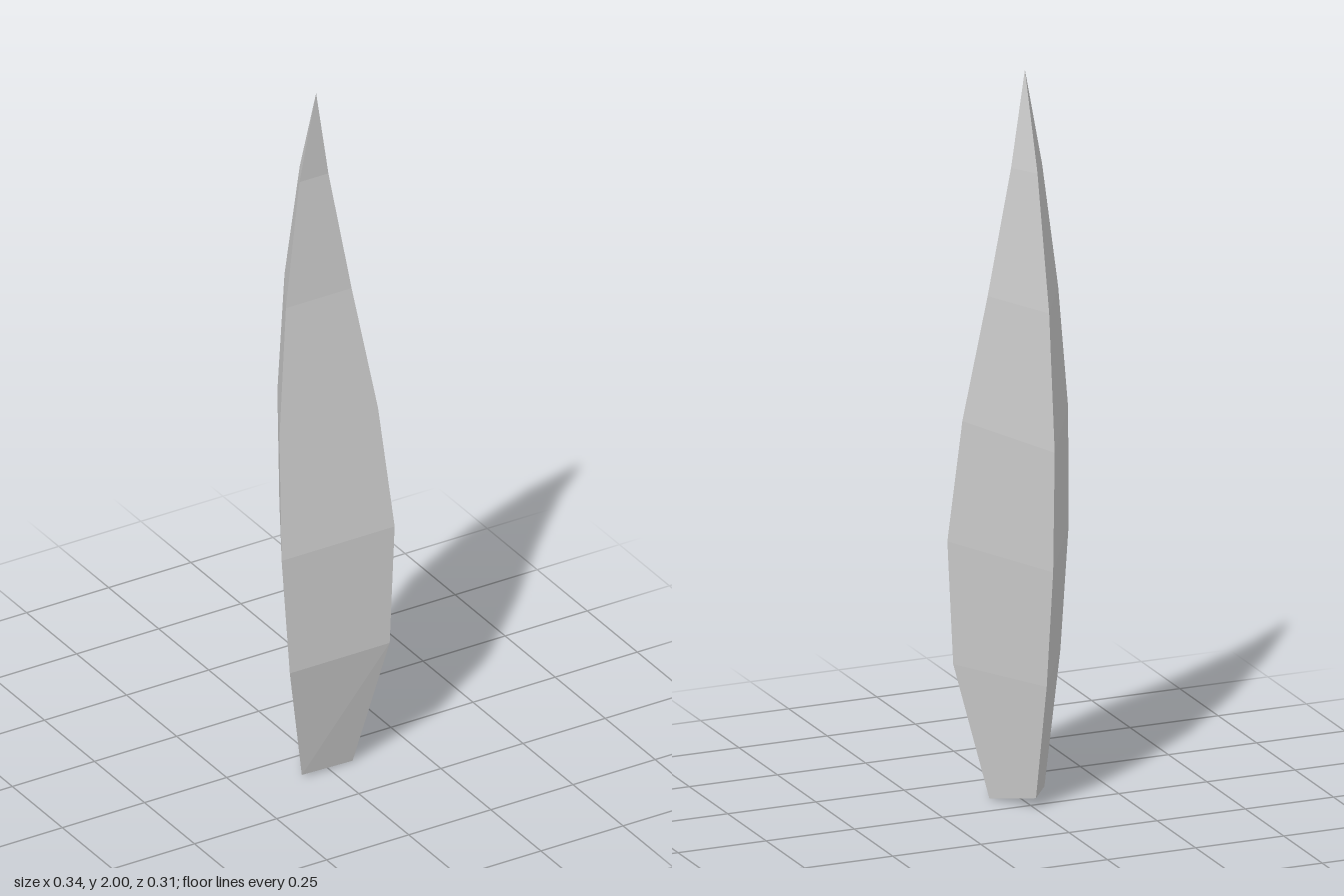
import * as THREE from 'three';

// Triangular sections from root to tip: left front corner, right front corner, back ridge
const mirrored = (w, y, z, backY, backZ) => [[w, y, z], [-w, y, z], [0, backY, backZ]];
const sections = [
  [[0.075, 0, 0.096], [-0.085, 0.01, 0.105], [0, 0.03, -0.035]], // slightly skewed open root
  mirrored(0.152, 0.36, 0.155, 0.355, -0.105),
  mirrored(0.172, 0.70, 0.147, 0.68, -0.147),
  mirrored(0.15, 1.04, 0.1, 1.01, -0.157),
  mirrored(0.1, 1.39, 0.05, 1.38, -0.121),
  mirrored(0.044, 1.74, 0.026, 1.74, -0.045),
];
const tip = [0, 2, 0.037];

export function createModel() {
  const group = new THREE.Group();
  const positions = [];
  const triangle = (...corners) => corners.forEach((c) => positions.push(...c));

  // Three sides joining each section to the next, closing on the pointed tip
  sections.forEach((lower, i) => {
    const upper = sections[i + 1];
    for (let a = 0; a < 3; a++) {
      const b = (a + 1) % 3;
      if (upper) {
        triangle(lower[a], upper[a], lower[b]);
        triangle(lower[b], upper[a], upper[b]);
      } else {
        triangle(lower[a], tip, lower[b]);
      }
    }
  });

  const geometry = new THREE.BufferGeometry();
  geometry.setAttribute('position', new THREE.Float32BufferAttribute(positions, 3));
  geometry.computeVertexNormals();

  // Open at the root, so the inside shows too
  const blade = new THREE.Mesh(geometry, new THREE.MeshStandardMaterial({
    color: 0xcccccc, flatShading: true, side: THREE.DoubleSide,
  }));
  blade.name = 'curvedBlade';
  group.add(blade);
  return group;
}
